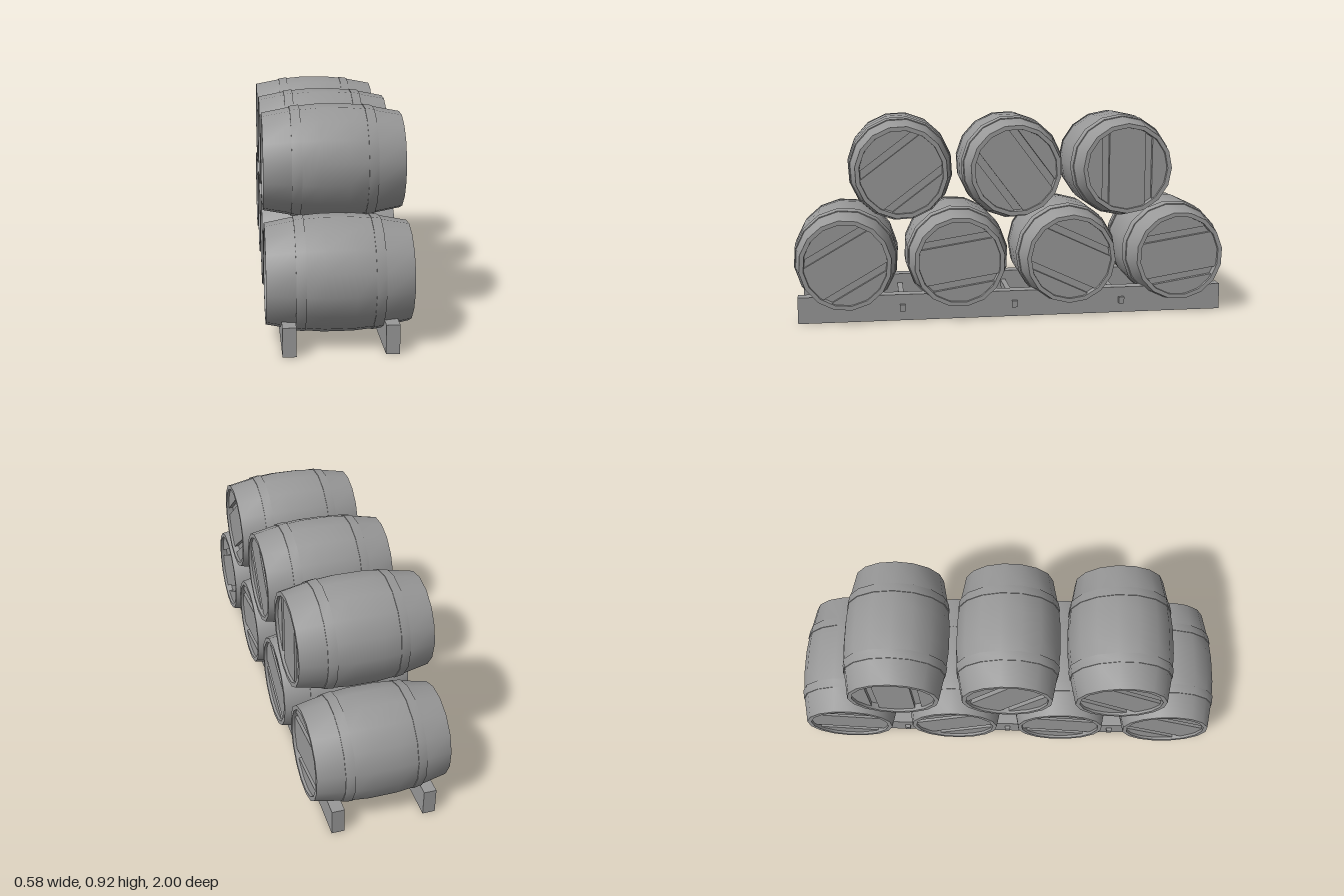
import * as THREE from 'three';
import { toCreasedNormals } from 'three/addons/utils/BufferGeometryUtils.js';

const SIDES = 16;
const material = new THREE.MeshStandardMaterial({ color: 0x999999 });
const openMaterial = new THREE.MeshStandardMaterial({ color: 0x999999, side: THREE.DoubleSide });

function addMesh(parent, name, geometry, x = 0, y = 0, z = 0, mat = material) {
  const mesh = new THREE.Mesh(geometry, mat);
  mesh.name = name;
  mesh.position.set(x, y, z);
  parent.add(mesh);
  return mesh;
}

// Barrel body: half profile [radius, distance from middle], mirrored, lying along x
function bodyGeometry() {
  const half = [
    [0, 0.26], [0.183, 0.26], [0.185, 0.29], [0.204, 0.29], // recessed head and rim
    [0.226, 0.175], [0.23, 0.175], [0.236, 0.135], [0.232, 0.135], // hoop
    [0.239, 0.06],
  ];
  const points = [
    ...half.map(([r, d]) => new THREE.Vector2(r, -d)),
    ...half.slice().reverse().map(([r, d]) => new THREE.Vector2(r, d)),
  ];
  const lathe = new THREE.LatheGeometry(points, SIDES);
  lathe.rotateZ(-Math.PI / 2);
  return toCreasedNormals(lathe, THREE.MathUtils.degToRad(40));
}

// Three head planks, cut from a disc with a gap on either side of the middle one
function plankGeometries() {
  const r = 0.183;
  const inner = Math.asin(0.083 / r);
  const outer = Math.asin(0.115 / r);
  const upper = new THREE.Shape().absarc(0, 0, r, outer, Math.PI - outer, false);
  const lower = new THREE.Shape().absarc(0, 0, r, Math.PI + outer, 2 * Math.PI - outer, false);
  const middle = new THREE.Shape();
  middle.absarc(0, 0, r, -inner, inner, false);
  middle.absarc(0, 0, r, Math.PI - inner, Math.PI + inner, false);
  return [upper, middle, lower].map((shape) => {
    const plank = new THREE.ExtrudeGeometry(shape, { depth: 0.02, bevelEnabled: false, curveSegments: 8 });
    plank.translate(0, 0, -0.01);
    plank.rotateY(Math.PI / 2);
    return plank;
  });
}

// Rail: a box left open underneath (the fourth face is the bottom)
function railGeometry() {
  const box = new THREE.BoxGeometry(0.055, 0.12, 1.956);
  const index = Array.from(box.index.array);
  index.splice(18, 6);
  box.setIndex(index);
  box.clearGroups();
  return box;
}

export function createModel() {
  const model = new THREE.Group();
  model.name = 'barrelRack';

  // Barrels: [height, z, roll in degrees]
  const body = bodyGeometry();
  const planks = plankGeometries();
  const barrels = [
    [0.273, 0.761, 30], [0.273, 0.254, 9], [0.273, -0.254, -25], [0.273, -0.761, 9],
    [0.682, 0.508, 37], [0.682, 0, -53], [0.682, -0.508, 90],
  ];
  for (const [y, z, roll] of barrels) {
    const barrel = new THREE.Group();
    barrel.name = 'barrel';
    barrel.position.set(0, y, z);
    barrel.rotation.x = THREE.MathUtils.degToRad(roll);
    addMesh(barrel, 'barrelBody', body);
    for (const side of [1, -1]) {
      for (const plank of planks) addMesh(barrel, 'headPlank', plank, side * 0.268);
    }
    model.add(barrel);
  }

  // Rack: two rails joined by three cross bars
  const rail = railGeometry();
  for (const side of [1, -1]) addMesh(model, 'rail', rail, side * 0.2025, 0.06, 0, openMaterial);
  const bar = new THREE.BoxGeometry(0.49, 0.03, 0.025);
  for (const z of [0.512, 0, -0.502]) addMesh(model, 'crossBar', bar, 0, 0.06, z);

  return model;
}
